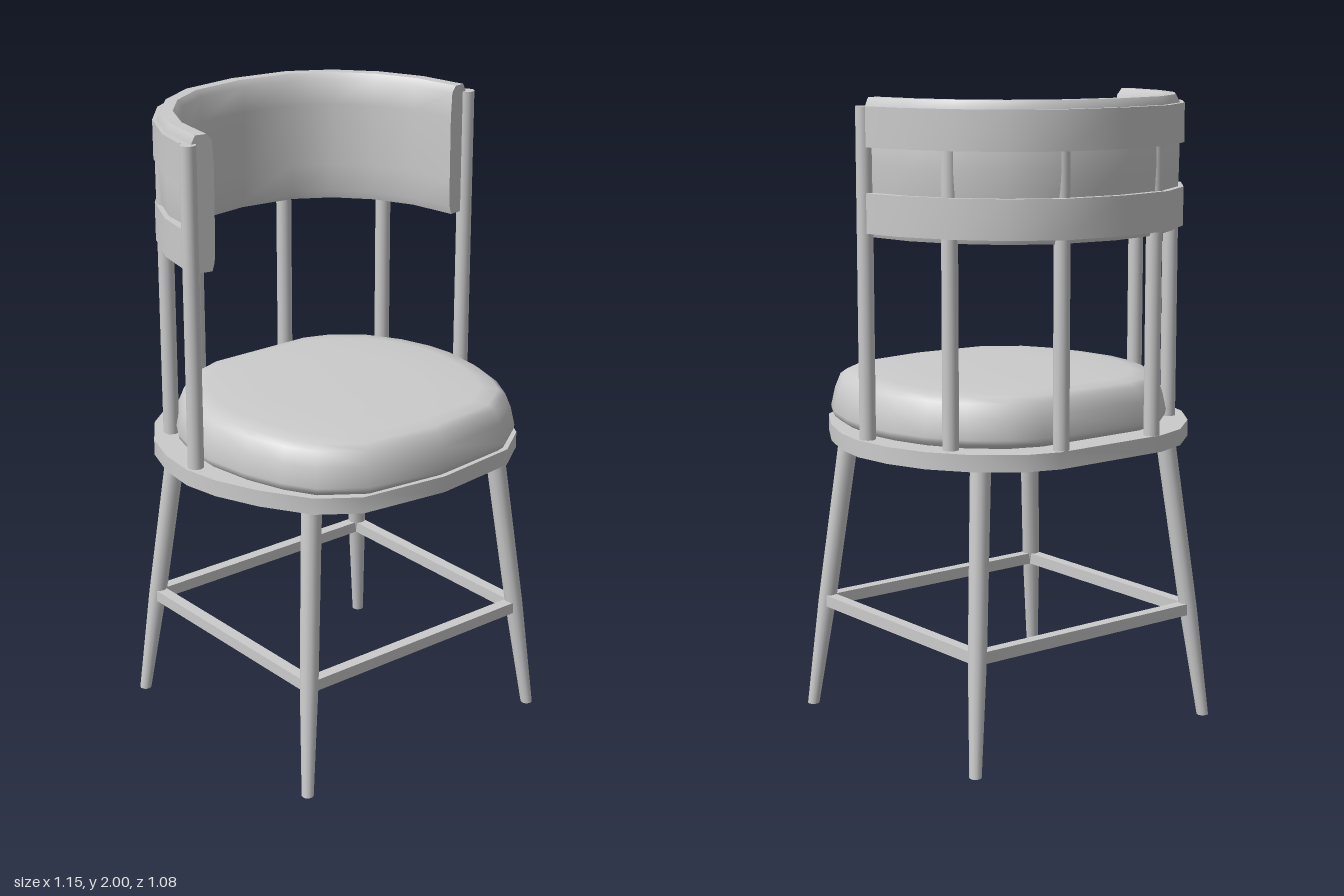
import * as THREE from 'three';
import { toCreasedNormals } from 'three/addons/utils/BufferGeometryUtils.js';

const material = new THREE.MeshStandardMaterial({ color: 0xcccccc });

// Skin a stack of closed rings and close both ends
function loft(rings, crease) {
  const n = rings[0].length, last = (rings.length - 1) * n, index = [];
  for (let i = 0; i < rings.length - 1; i++) {
    for (let j = 0; j < n; j++) {
      const a = i * n + j, b = i * n + (j + 1) % n;
      index.push(a, a + n, b + n, a, b + n, b);
    }
  }
  for (let j = 1; j < n - 1; j++) {
    index.push(0, j, j + 1, last, last + j + 1, last + j);
  }
  const g = new THREE.BufferGeometry();
  g.setAttribute('position', new THREE.Float32BufferAttribute(rings.flat(2), 3));
  g.setIndex(index);
  return toCreasedNormals(g, crease);
}

// Half outline on +x, completed with its mirror image
function mirrored(half) {
  const other = half.filter(p => p[0] > 0).reverse().map(([x, z]) => [-x, z]);
  return [...half, ...other];
}

// Sweep a profile of [outward, y] along a level path of [x, z]
function sweep(path, profile, crease) {
  const rings = path.map(([x, z], i) => {
    const p = path[Math.max(i - 1, 0)], q = path[Math.min(i + 1, path.length - 1)];
    const dx = q[0] - p[0], dz = q[1] - p[1], len = Math.hypot(dx, dz);
    return profile.map(([o, y]) => [x - dz / len * o, y, z + dx / len * o]);
  });
  return loft(rings, crease);
}

export function createModel() {
  const group = new THREE.Group();
  const add = (name, geometry, x = 0, y = 0, z = 0) => {
    const mesh = new THREE.Mesh(geometry, material);
    mesh.name = name;
    mesh.position.set(x, y, z);
    group.add(mesh);
    return mesh;
  };

  // Seat board
  const board = mirrored([[0.2, -0.5], [0.31, -0.465], [0.43, -0.37], [0.515, -0.25], [0.56, -0.12],
    [0.575, 0.01], [0.555, 0.13], [0.5, 0.27], [0.41, 0.42], [0.29, 0.505], [0, 0.54]]);
  add('seatBoard', loft([0.92, 0.972].map(y => board.map(([x, z]) => [x, y, z])), 0.7));

  // Cushion, with a soft shoulder and a nearly flat top
  const cushion = mirrored([[0.2, -0.42], [0.3, -0.385], [0.4, -0.3], [0.47, -0.18], [0.505, -0.06],
    [0.515, 0.04], [0.495, 0.19], [0.455, 0.32], [0.4, 0.42], [0.27, 0.51], [0, 0.54]]);
  const levels = [[0.96, 0.97], [0.995, 0.985], [1, 1.0], [0.975, 1.06], [0.94, 1.105],
    [0.9, 1.12], [0.8, 1.127], [0.45, 1.13]];
  add('cushion', loft(levels.map(([s, y]) =>
    cushion.map(([x, z]) => [x * s, y, 0.06 + (z - 0.06) * s])), 1.1));

  // Curved back pad
  const padPath = mirrored([[0.497, 0.02], [0.472, -0.14], [0.41, -0.275], [0.315, -0.385],
    [0.19, -0.458], [0, -0.485]]);
  add('backPad', sweep(padPath, [[-0.025, 1.585], [0.018, 1.585], [0.028, 1.61], [0.035, 1.8],
    [0.035, 1.975], [0.022, 2], [-0.015, 2], [-0.032, 1.98], [-0.037, 1.9], [-0.036, 1.7],
    [-0.033, 1.61]], 0.8));

  // Two bent bands behind the pad
  const bandPath = mirrored([[0.552, -0.015], [0.525, -0.14], [0.45, -0.3], [0.345, -0.425],
    [0.2, -0.513], [0, -0.54]]);
  for (const [name, low, high] of [['lowerBand', 1.6, 1.72], ['upperBand', 1.855, 1.975]]) {
    add(name, sweep(bandPath, [[-0.028, low], [0, low], [0, high], [-0.028, high]], 0.6));
  }

  // Upright spindles
  const spindle = new THREE.CylinderGeometry(0.025, 0.025, 1.015, 12);
  for (const side of [1, -1]) {
    for (const [x, z] of [[0.54, 0.01], [0.435, -0.27], [0.18, -0.475]]) {
      add('spindle', spindle, side * x, 1.4675, z);
    }
  }

  // Splayed legs, tapered below the stretchers and sheared so the ends stay level
  const legProfile = [[0, 0], [0.019, 0], [0.029, 0.36], [0.032, 0.94], [0, 0.94]]
    .map(p => new THREE.Vector2(...p));
  for (const side of [1, -1]) {
    for (const [name, foot, top] of [['frontLeg', 0.455, 0.36], ['backLeg', -0.425, -0.33]]) {
      const g = new THREE.LatheGeometry(legProfile, 12);
      const pos = g.attributes.position;
      for (let i = 0; i < pos.count; i++) {
        const t = pos.getY(i) / 0.92;
        pos.setX(i, pos.getX(i) + side * (0.465 - 0.095 * t));
        pos.setZ(i, pos.getZ(i) + foot + (top - foot) * t);
      }
      add(name, toCreasedNormals(g, 0.8));
    }
  }

  // Stretchers joining the legs
  const bar = 0.037;
  add('frontStretcher', new THREE.BoxGeometry(0.856, bar, bar), 0, 0.357, 0.418);
  add('backStretcher', new THREE.BoxGeometry(0.856, bar, bar), 0, 0.357, -0.388);
  for (const side of [1, -1]) {
    add('sideStretcher', new THREE.BoxGeometry(bar, bar, 0.806), side * 0.428, 0.357, 0.015);
  }

  return group;
}
